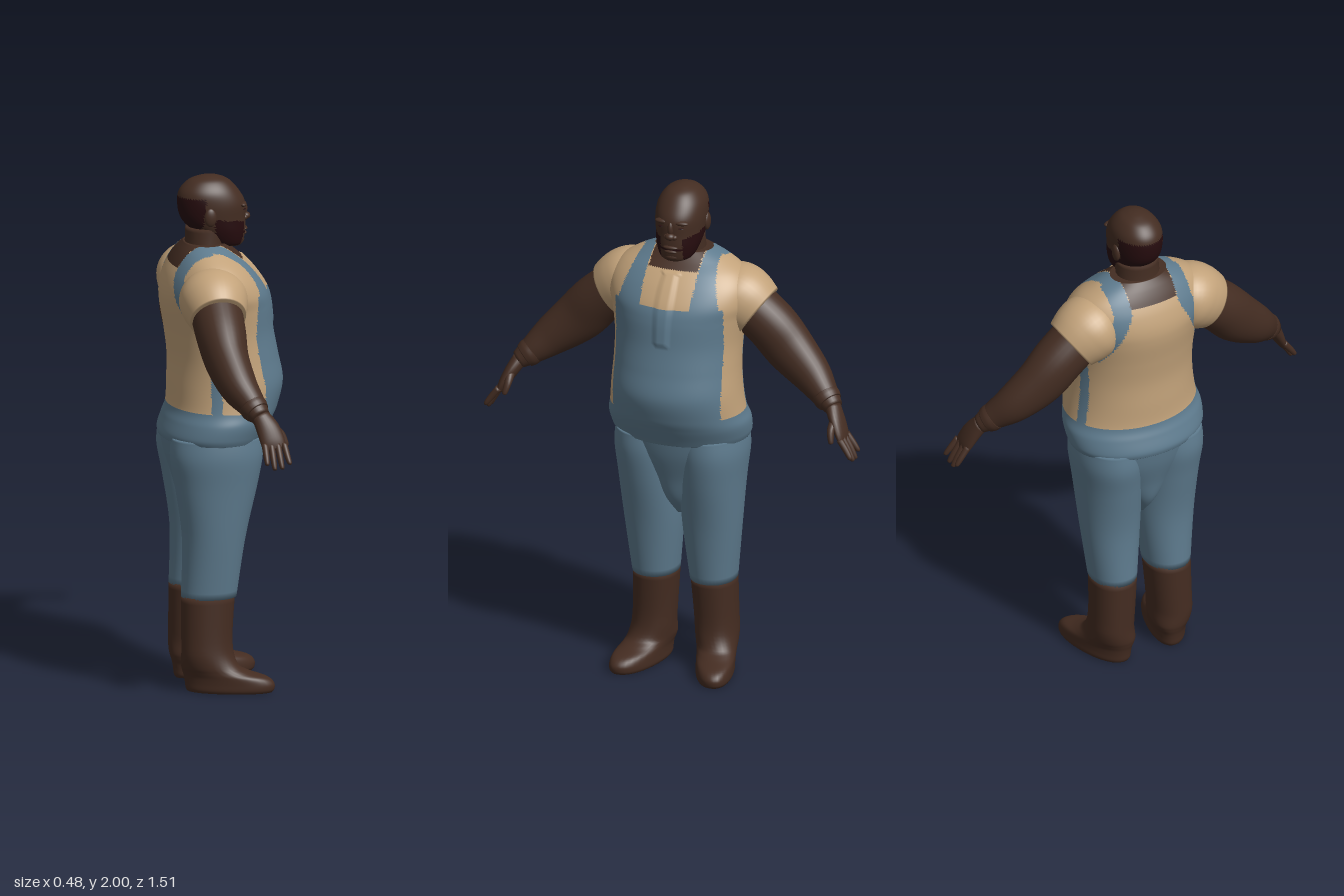
import * as THREE from 'three';

const mat = (name, color) => {
  const m = new THREE.MeshStandardMaterial({ color });
  m.name = name;
  return m;
};

// Smooth interpolation through rows of numbers
function resample(keys, sub) {
  const out = [];
  for (let i = 0; i < keys.length - 1; i++) {
    const p = keys[Math.max(i - 1, 0)], q = keys[i], r = keys[i + 1], s = keys[Math.min(i + 2, keys.length - 1)];
    for (let k = 0; k < sub; k++) {
      const t = k / sub;
      out.push(q.map((_, c) => {
        const m0 = (r[c] - p[c]) / 2, m1 = (s[c] - q[c]) / 2, d = q[c] - r[c];
        return q[c] + m0 * t + (-3 * d - 2 * m0 - m1) * t * t + (2 * d + m0 + m1) * t * t * t;
      }));
    }
  }
  out.push(keys[keys.length - 1]);
  return out;
}

// Skin rings [x, y, z, halfU, halfV] along a path. opts: sub, seg, n (squareness),
// upright (level rings, listed bottom to top), warp(point), pick(centroid) -> material index
function loft(name, keys, mats, opts = {}) {
  const { sub = 4, seg = 24, n = 2, upright = false, warp, pick } = opts;
  const rows = resample(keys, sub);
  const centres = rows.map(r => new THREE.Vector3(r[0], r[1], r[2]));
  const pts = [], X = new THREE.Vector3(1, 0, 0);
  const f = v => Math.sign(v) * Math.pow(Math.abs(v), 2 / n);
  rows.forEach((r, i) => {
    const a = centres[Math.max(i - 1, 0)], b = centres[Math.min(i + 1, rows.length - 1)];
    const T = upright ? new THREE.Vector3(0, 1, 0) : b.clone().sub(a).normalize();
    const U = X.clone().addScaledVector(T, -T.dot(X)).normalize();
    const V = T.clone().cross(U);
    for (let j = 0; j < seg; j++) {
      const w = (j / seg) * Math.PI * 2;
      pts.push(centres[i].clone().addScaledVector(U, r[3] * f(Math.cos(w))).addScaledVector(V, r[4] * f(Math.sin(w))));
    }
  });
  const first = pts.push(centres[0].clone()) - 1;
  const last = pts.push(centres[rows.length - 1].clone()) - 1;
  if (warp) pts.forEach(warp);

  const tris = [], end = (rows.length - 1) * seg;
  for (let j = 0; j < seg; j++) {
    const k = (j + 1) % seg;
    tris.push([first, k, j], [last, end + j, end + k]);
    for (let o = 0; o < end; o += seg) tris.push([o + j, o + k, o + seg + j], [o + k, o + seg + k, o + seg + j]);
  }
  const g = new THREE.BufferGeometry().setFromPoints(pts);
  if (pick) {
    const bins = mats.map(() => []);
    const c = new THREE.Vector3();
    tris.forEach(t => {
      c.set(0, 0, 0);
      t.forEach(v => c.addScaledVector(pts[v], 1 / 3));
      bins[pick(c)].push(...t);
    });
    g.setIndex(bins.flat());
    let start = 0;
    bins.forEach((b, i) => { g.addGroup(start, b.length, i); start += b.length; });
  } else g.setIndex(tris.flat());
  g.computeVertexNormals();
  const mesh = new THREE.Mesh(g, mats);
  mesh.name = name;
  return mesh;
}

export function createModel() {
  const skin = mat('skin', 0x442d22), hair = mat('hair', 0x260c0e);
  const denim = mat('denim', 0x5e7b8e), shirt = mat('shirt', 0xc2a27a), leather = mat('leather', 0x442c21);
  const root = new THREE.Group();
  root.name = 'figure';

  const ball = (name, m, p, s) => {
    const b = new THREE.Mesh(new THREE.SphereGeometry(1, 20, 14), m);
    b.name = name;
    b.position.set(...p);
    b.scale.set(...s);
    root.add(b);
  };

  // Torso: rows of [height, back x, front x, half width]
  const body = [
    [0.985, -0.235, 0.16, 0.268], [1.01, -0.238, 0.172, 0.277], [1.06, -0.222, 0.198, 0.28], [1.11, -0.206, 0.22, 0.267],
    [1.2, -0.203, 0.24, 0.256], [1.3, -0.202, 0.222, 0.25], [1.4, -0.214, 0.203, 0.252], [1.5, -0.23, 0.192, 0.268],
    [1.56, -0.23, 0.175, 0.285], [1.62, -0.214, 0.138, 0.28], [1.67, -0.19, 0.095, 0.245], [1.71, -0.165, 0.05, 0.182],
    [1.74, -0.14, 0.02, 0.115],
  ].map(([y, b, f, w]) => [(b + f) / 2, y, 0, (f - b) / 2, w]);

  // Overalls over a shirt: 0 denim, 1 shirt, 2 bare neck
  const clothes = ({ x, y, z }) => {
    const w = Math.abs(z);
    if (y < 1.11) return 0;
    if (w < 0.1 && y > (x < -0.06 ? 1.66 : 1.685)) return 2;
    if (x > 0.07 && y < 1.56 && w < 0.22) return 0;
    if (x > -0.06) {
      if (y > 1.52 && w > 0.104 && w < 0.205 - (y - 1.56) * 0.3) return 0;
    } else if (y > 1.42) {
      const mid = 0.135 + Math.max(0, 1.64 - y) * 0.5;
      if (Math.abs(w - mid) < 0.034) return 0;
    }
    if (y < 1.45 && w > 0.15 && Math.abs(x + 0.06) < 0.02) return 0;
    return 1;
  };
  // Raised button placket down the chest
  const placket = p => {
    if (p.x > 0.03 && Math.abs(p.z) < 0.03 && p.y > 1.42 && p.y < 1.68) p.x += 0.007;
  };
  root.add(loft('torso', body, [denim, shirt, skin], { sub: 10, seg: 160, n: 2.05, upright: true, warp: placket, pick: clothes }));

  // Seat of the trousers, blending the two legs together under the hem
  root.add(loft('trouserSeat', [[-0.05, 0.64, 0, 0.05, 0.02], [-0.045, 0.72, 0, 0.112, 0.07], [-0.042, 0.82, 0, 0.144, 0.15],
    [-0.04, 0.92, 0, 0.176, 0.235], [-0.038, 1.01, 0, 0.194, 0.266]], denim, { sub: 6, seg: 56, upright: true }));

  // Neck
  root.add(loft('neck', [[-0.065, 1.66, 0, 0.1, 0.1], [-0.058, 1.72, 0, 0.08, 0.088], [-0.048, 1.8, 0, 0.085, 0.083]], skin, { upright: true }));

  // Head with cropped hair at the back and a beard along the jaw, joined below one ear
  const face = ({ x, y, z }) => {
    const w = Math.abs(z);
    if (x > -0.035 && y > 1.728 && y < 1.835 - x * 0.15 && (w > 0.045 || (y > 1.772 && y < 1.78))) return 1;
    if (z < -0.03 && x < 0 && y > 1.76 && y < 1.83) return 1;
    return x < -0.07 - (1.92 - y) * 0.1 && y > 1.785 && y < 1.92 ? 1 : 0;
  };
  root.add(loft('head', [
    [0.035, 1.722, 0, 0.045, 0.042], [0.02, 1.735, 0, 0.07, 0.066], [-0.002, 1.78, 0, 0.1, 0.084],
    [-0.026, 1.83, 0, 0.124, 0.093], [-0.034, 1.89, 0, 0.131, 0.097], [-0.044, 1.94, 0, 0.114, 0.089],
    [-0.045, 1.978, 0, 0.079, 0.062], [-0.043, 1.995, 0, 0.038, 0.03], [-0.043, 2, 0, 0.008, 0.006],
  ], [skin, hair], { sub: 6, seg: 64, n: 2.1, upright: true, pick: face }));
  ball('noseBridge', skin, [0.09, 1.86, 0], [0.018, 0.032, 0.013]);
  ball('nose', skin, [0.1, 1.832, 0], [0.019, 0.015, 0.02]);
  ball('upperLip', skin, [0.094, 1.785, 0], [0.013, 0.008, 0.03]);
  ball('lowerLip', skin, [0.091, 1.767, 0], [0.013, 0.008, 0.026]);
  ball('chin', skin, [0.07, 1.742, 0], [0.025, 0.018, 0.035]);

  for (const [side, s] of [['left', -1], ['right', 1]]) {
    const add = (part, keys, m, opts) =>
      root.add(loft(side + part, keys.map(([x, y, z, a, b]) => [x, y, z * s, a, b ?? a]), m, opts));

    // Facial details
    ball(side + 'Ear', skin, [-0.055, 1.85, s * 0.094], [0.024, 0.036, 0.013]);
    ball(side + 'Brow', skin, [0.08, 1.886, s * 0.036], [0.017, 0.01, 0.032]);
    ball(side + 'Nostril', skin, [0.092, 1.828, s * 0.016], [0.014, 0.011, 0.012]);
    ball(side + 'Eye', hair, [0.087, 1.866, s * 0.038], [0.007, 0.003, 0.013]);

    // Sleeve and arm
    add('Sleeve', [[-0.06, 1.585, 0.13, 0.09, 0.085], [-0.068, 1.565, 0.2, 0.13, 0.125], [-0.068, 1.535, 0.25, 0.127, 0.13],
      [-0.067, 1.5, 0.3, 0.108, 0.115]], shirt, { sub: 6, seg: 40 });
    add('Arm', [[-0.068, 1.53, 0.26, 0.1], [-0.067, 1.45, 0.355, 0.096, 0.102], [-0.06, 1.37, 0.43, 0.085, 0.1],
      [-0.035, 1.29, 0.525, 0.073, 0.08], [0, 1.235, 0.59, 0.056, 0.058], [0.03, 1.19, 0.645, 0.038, 0.036]], skin, { sub: 5, seg: 28 });
    add('Cuff', [[0.004, 1.228, 0.598, 0.054], [0.012, 1.216, 0.612, 0.054], [0.02, 1.205, 0.626, 0.048]], skin, { seg: 28 });

    // Hand
    add('Palm', [[0.028, 1.195, 0.64, 0.035, 0.03], [0.052, 1.15, 0.667, 0.046, 0.026], [0.066, 1.105, 0.69, 0.048, 0.02],
      [0.072, 1.075, 0.702, 0.043, 0.013]], skin);
    for (let i = 0; i < 4; i++) {
      const x = 0.034 + i * 0.025, drop = [0.055, 0.075, 0.072, 0.055][i];
      add('Finger' + (i + 1), [[x, 1.095, 0.698, 0.013], [x + 0.002 * i, 1.085 - drop / 2, 0.726, 0.012],
        [x + 0.004 * i, 1.085 - drop, 0.745, 0.009], [x + 0.004 * i, 1.081 - drop, 0.747, 0.003]], skin, { seg: 12 });
    }
    add('Thumb', [[0.07, 1.155, 0.662, 0.018], [0.105, 1.125, 0.66, 0.015], [0.124, 1.085, 0.668, 0.01],
      [0.126, 1.08, 0.669, 0.003]], skin, { seg: 12 });

    // Trouser leg
    add('TrouserLeg', [[-0.067, 0.37, 0.118, 0.107, 0.09], [-0.048, 0.6, 0.119, 0.122, 0.114], [-0.04, 0.8, 0.125, 0.158, 0.125],
      [-0.04, 0.92, 0.13, 0.179, 0.132], [-0.038, 1.0, 0.128, 0.175, 0.128]], denim, { sub: 6, seg: 40, n: 2.1, upright: true });

    // Boot, with the toe turned outward
    const turnOut = p => {
      p.z += s * 0.24 * (p.x + 0.06) * THREE.MathUtils.smoothstep(0.16 - p.y, 0, 0.1);
    };
    add('Boot', [[0.008, 0, 0.135, 0.158, 0.07], [0.009, 0.012, 0.135, 0.165, 0.076], [0.007, 0.035, 0.135, 0.166, 0.077],
      [-0.008, 0.058, 0.135, 0.155, 0.078], [-0.045, 0.08, 0.134, 0.124, 0.08], [-0.068, 0.11, 0.132, 0.106, 0.083],
      [-0.076, 0.2, 0.126, 0.098, 0.083], [-0.07, 0.375, 0.118, 0.103, 0.088]], leather,
      { sub: 5, seg: 36, n: 2.2, upright: true, warp: turnOut });
  }
  return root;
}
